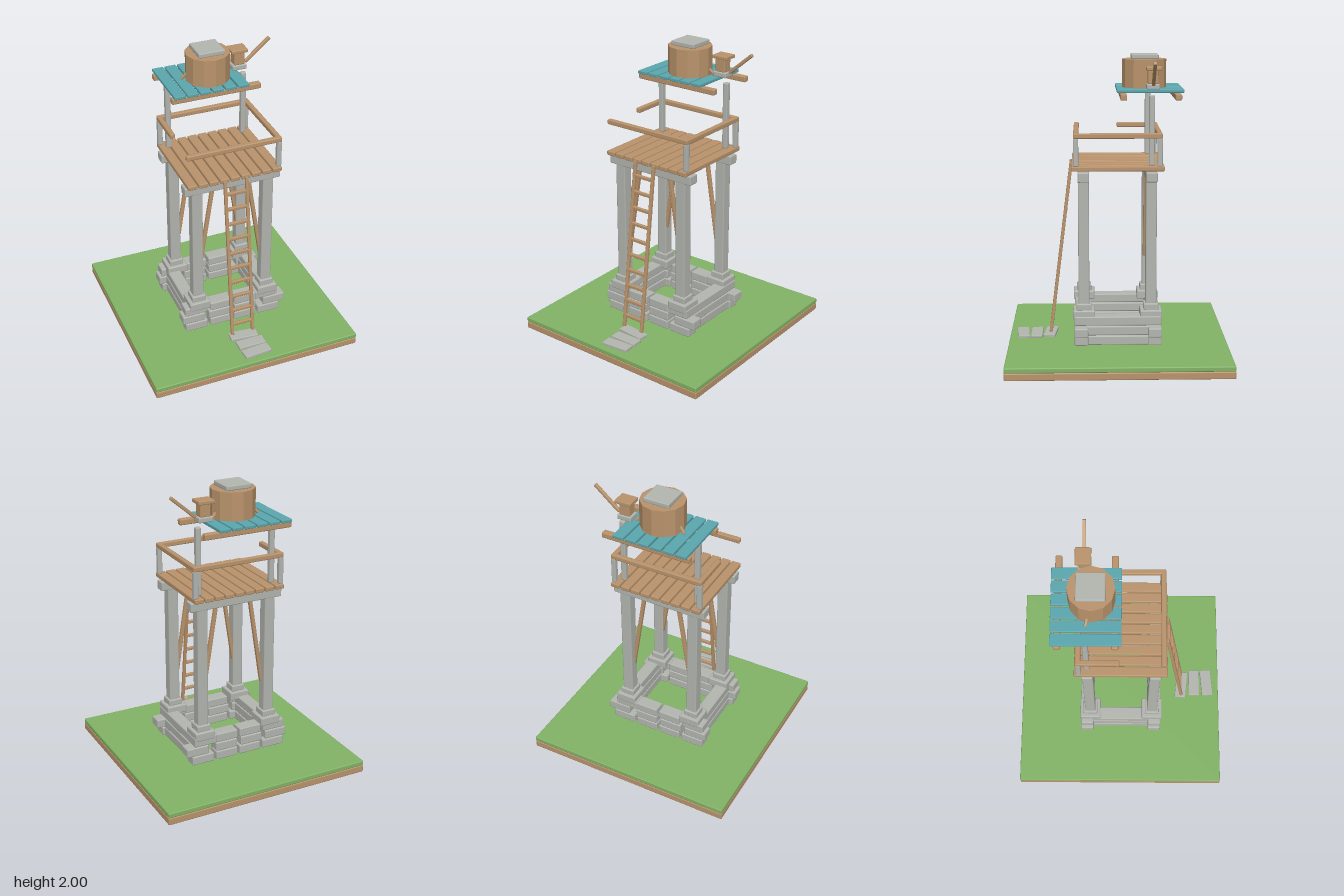
import * as THREE from 'three';
import { RoundedBoxGeometry } from 'three/addons/geometries/RoundedBoxGeometry.js';

const paint = (name, color) => {
  const m = new THREE.MeshStandardMaterial({ color });
  m.name = name;
  return m;
};

export function createModel() {
  const wood = paint('wood', 0xb9936b);
  const stone = paint('stone', 0xb3b5af);
  const grass = paint('grass', 0x82b366);
  const teal = paint('teal', 0x5aa6ae);
  const model = new THREE.Group();
  model.name = 'watchtower';

  // Box with slightly softened edges
  const box = (name, mat, size, pos, rot = [0, 0, 0]) => {
    const bevel = Math.min(0.008, Math.min(...size) * 0.22);
    const mesh = new THREE.Mesh(new RoundedBoxGeometry(...size, 1, bevel), mat);
    mesh.name = name;
    mesh.position.set(...pos);
    mesh.rotation.set(...rot);
    model.add(mesh);
    return mesh;
  };

  // Square beam running between two points
  const beam = (name, mat, a, b, w, d = w) => {
    const p = new THREE.Vector3(...a), q = new THREE.Vector3(...b);
    const dir = q.clone().sub(p);
    const mesh = box(name, mat, [w, dir.length(), d], p.clone().add(q).multiplyScalar(0.5).toArray());
    mesh.quaternion.setFromUnitVectors(new THREE.Vector3(0, 1, 0), dir.normalize());
    return mesh;
  };

  // Ground
  box('groundSoil', wood, [1.465, 0.05, 1.465], [0, 0.027, 0]);
  box('groundGrass', grass, [1.465, 0.035, 1.465], [0, 0.069, 0]);

  // Stepping stones
  [[0, 0.455, -0.1], [0.015, 0.55, 0], [0.018, 0.643, 0.08]].forEach(([x, z, r]) =>
    box('steppingStone', stone, [0.195, 0.022, 0.08], [x, 0.095, z], [0, r, 0]));

  // Stone footing: bricks front and back, long slabs at the sides
  const rows = [
    [0.132, [-0.275, -0.095, 0.083, 0.262]],
    [0.198, [-0.295, -0.105, 0.085, 0.302]],
    [0.264, [-0.278, -0.095, 0.083, 0.24]],
  ];
  for (const [y, xs] of rows) {
    for (const z of [0.245, -0.24])
      for (const x of xs) box('footingBrick', stone, [0.162, 0.062, 0.09], [x, y, z]);
    for (const s of [1, -1])
      box('footingSlab', stone, [0.09, 0.062, 0.575], [s * 0.28, y, 0.003]);
  }

  // Legs with stepped bases
  for (const x of [-0.252, 0.247]) {
    for (const z of [0.227, -0.216]) {
      box('legBase', stone, [0.145, 0.06, 0.145], [x, 0.303, z]);
      box('legCollar', stone, [0.1, 0.045, 0.1], [x, 0.352, z]);
      box('leg', stone, [0.075, 0.88, 0.072], [x, 0.81, z]);
    }
  }

  // Cross beams and diagonal braces under the deck
  for (const z of [0.227, -0.216]) {
    box('deckBeam', stone, [0.67, 0.064, 0.075], [-0.003, 1.225, z]);
    for (const s of [1, -1])
      beam('brace', wood, [s * 0.125, 1.2, z * 0.92], [s * 0.222, 0.58, z * 0.92], 0.026);
  }

  // Deck planks
  for (let i = 0; i < 9; i++)
    box('deckPlank', wood, [0.065, 0.032, 0.605], [(i - 4) * 0.0735 - 0.003, 1.28, 0.003]);

  // Railing: the left side is only half length
  const railY = 1.493;
  box('frontRail', wood, [0.655, 0.034, 0.034], [-0.003, railY, 0.275]);
  box('backRail', wood, [0.655, 0.034, 0.034], [-0.003, railY, -0.268]);
  box('rightRail', wood, [0.034, 0.034, 0.575], [0.308, railY, 0.004]);
  box('leftRail', wood, [0.034, 0.034, 0.28], [-0.314, railY, -0.145]);
  for (const [x, z] of [[0.308, 0.275], [0.308, -0.268], [-0.314, -0.268]])
    box('railPost', stone, [0.034, 0.185, 0.034], [x, 1.387, z]);

  // Roof posts, beams and planks
  for (const x of [-0.272, 0.263])
    box('roofPost', stone, [0.037, 0.455, 0.037], [x, 1.522, -0.217]);
  for (const z of [-0.386, -0.034])
    box('roofBeam', wood, [0.615, 0.04, 0.043], [-0.002, 1.738, z]);
  for (let i = 0; i < 6; i++)
    box('roofPlank', teal, [0.076, 0.022, 0.437], [-0.261 + i * 0.0872, 1.77, -0.211]);

  // Water barrel with its cap and side struts
  const barrel = new THREE.Mesh(
    new THREE.CylinderGeometry(0.147, 0.147, 0.19, 12).toNonIndexed(), wood);
  barrel.geometry.computeVertexNormals();
  barrel.name = 'barrel';
  barrel.position.set(-0.005, 1.872, -0.178);
  model.add(barrel);
  box('barrelCap', stone, [0.182, 0.032, 0.18], [-0.005, 1.984, -0.18]);
  for (const s of [1, -1])
    beam('barrelStrut', wood,
      [-0.005 + s * 0.17, 1.783, -0.215], [-0.005 + s * 0.125, 1.83, -0.2], 0.018);

  // Winch box with its lever
  box('winchBase', stone, [0.1, 0.036, 0.085], [0.226, 1.803, -0.224]);
  box('winchBody', wood, [0.074, 0.09, 0.07], [0.226, 1.863, -0.224]);
  box('winchCap', wood, [0.114, 0.024, 0.1], [0.226, 1.917, -0.23]);
  beam('winchLever', wood, [0.28, 1.818, -0.225], [0.452, 1.965, -0.225], 0.022);

  // Ladder
  for (const x of [-0.08, 0.07])
    beam('ladderRail', wood, [x, 0.12, 0.453], [x, 1.285, 0.308], 0.022);
  for (let i = 0; i < 10; i++) {
    const y = 0.203 + i * 0.1093;
    box('ladderRung', wood, [0.165, 0.022, 0.022], [-0.005, y, 0.453 - (y - 0.12) * 0.1245]);
  }

  return model;
}
